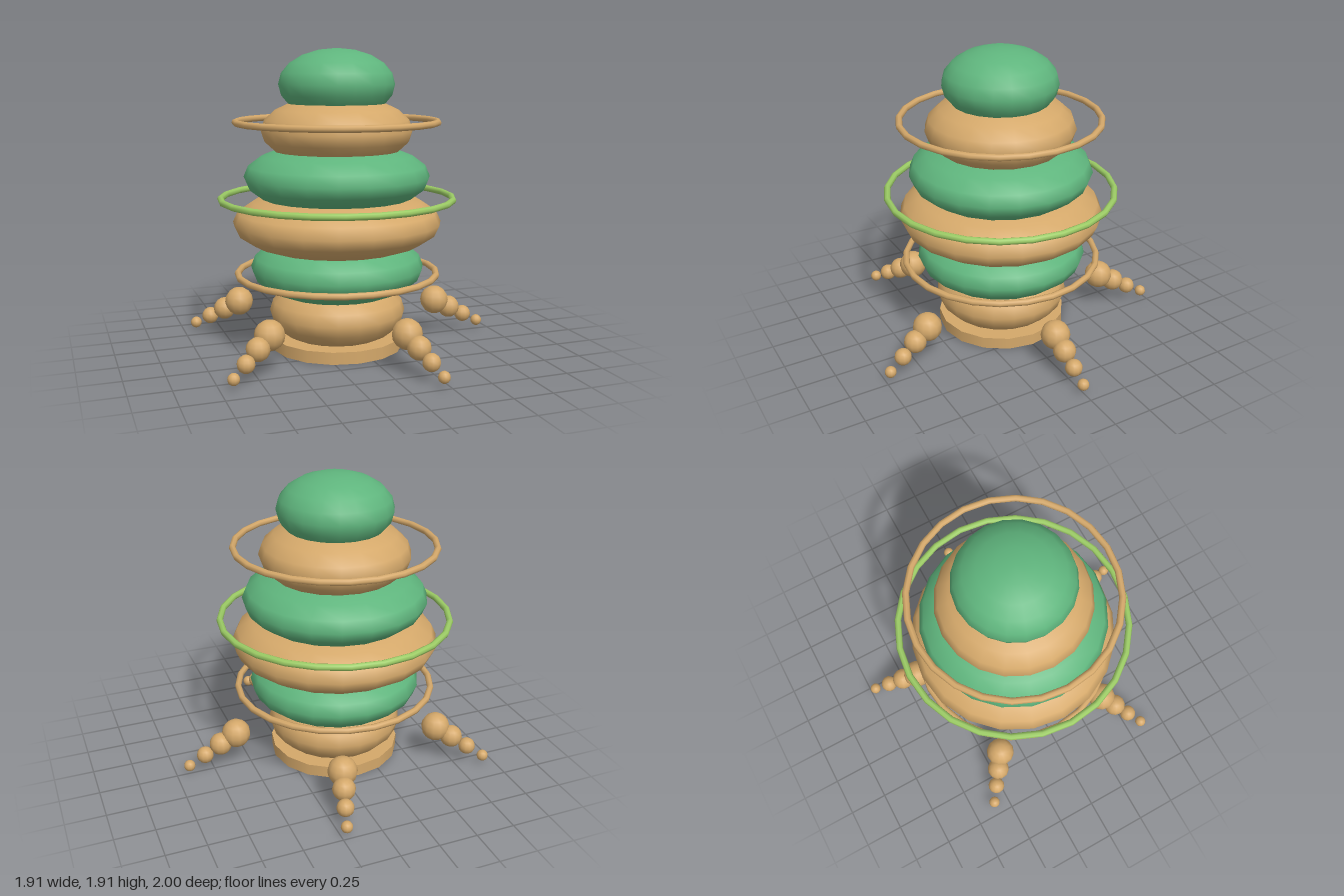
import * as THREE from 'three';

export function createModel() {
  const model = new THREE.Group();
  model.name = 'stackedTower';

  const makeMaterial = (name, color) => {
    const m = new THREE.MeshStandardMaterial({ color });
    m.name = name;
    return m;
  };
  const tan = makeMaterial('tan', 0xd4a86a);
  const green = makeMaterial('green', 0x5fb57d);
  const lime = makeMaterial('lime', 0x9ccc65);

  // Everything is arranged around one vertical axis, slightly off centre
  const tower = new THREE.Group();
  tower.name = 'tower';
  tower.position.x = -0.1;
  model.add(tower);

  const add = (parent, name, geometry, material, x, y, z) => {
    const mesh = new THREE.Mesh(geometry, material);
    mesh.name = name;
    mesh.position.set(x, y, z);
    parent.add(mesh);
    return mesh;
  };

  // Flat round base
  add(tower, 'base', new THREE.CylinderGeometry(0.425, 0.425, 0.077, 16), tan, 0, 0.0385, 0);

  // Overlapping squashed spheres, bottom to top, in alternating colours
  const tierRadii = [0.438, 0.556, 0.667, 0.594, 0.482, 0.368];
  tierRadii.forEach((radius, i) => {
    const tier = add(tower, `tier${i + 1}`, new THREE.SphereGeometry(1, 20, 10),
      i % 2 ? green : tan, 0, 0.235 + i * 0.291, 0);
    tier.scale.set(radius, 0.225, radius);
  });

  // Thin hoops floating around the tiers
  [[0.64, tan], [0.74, lime], [0.64, tan]].forEach(([radius, material], i) => {
    const hoop = add(tower, `hoop${i + 1}`, new THREE.TorusGeometry(radius, 0.021, 8, 24),
      material, 0, 0.485 * (i + 1), 0);
    hoop.rotation.x = Math.PI / 2;
  });

  // Five legs of shrinking beads: distance from axis, height, radius
  const beads = [[0.693, 0.235, 0.094], [0.8, 0.177, 0.073], [0.907, 0.118, 0.055], [1.014, 0.06, 0.037]];
  const beadGeometries = beads.map(([, , radius]) => new THREE.SphereGeometry(radius, 12, 8));
  for (let i = 0; i < 5; i++) {
    const leg = new THREE.Group();
    leg.name = `leg${i + 1}`;
    leg.rotation.y = (i * Math.PI * 2) / 5;
    beads.forEach(([distance, height], j) =>
      add(leg, `bead${j + 1}`, beadGeometries[j], tan, distance, height, 0));
    tower.add(leg);
  }

  return model;
}
